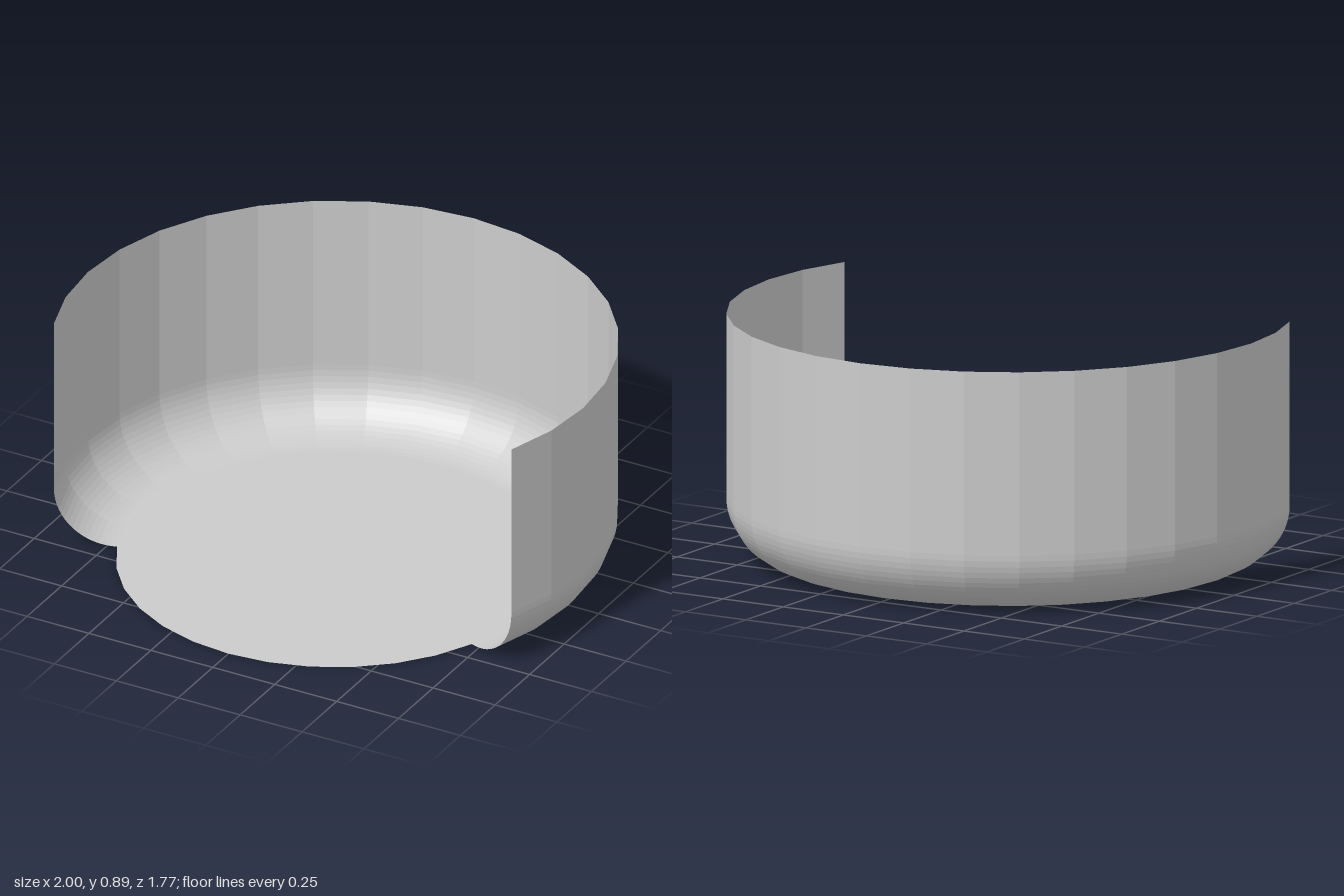
import * as THREE from 'three';

export function createModel() {
  const group = new THREE.Group();
  group.name = 'curvedBackdrop';
  const material = new THREE.MeshStandardMaterial({
    color: 0xcccccc, flatShading: true, side: THREE.DoubleSide,
  });

  const radius = 1, cove = 0.225, height = 0.8875;
  const floorRadius = radius - cove;
  const centerZ = (radius - floorRadius) / 2;

  // Wall profile: quarter-round cove rising from the floor, then straight up
  const profile = [];
  const steps = 16;
  for (let i = 0; i <= steps; i++) {
    const a = (i / steps) * Math.PI / 2;
    profile.push(new THREE.Vector2(floorRadius + cove * Math.sin(a), cove * (1 - Math.cos(a))));
  }
  profile.push(new THREE.Vector2(radius, height));

  // Wall sweeps 225 degrees around the back, open at the front
  const wall = new THREE.Mesh(
    new THREE.LatheGeometry(profile, 20, Math.PI * 0.375, Math.PI * 1.25), material);
  wall.name = 'curvedWall';

  // Round floor, full circle
  const floor = new THREE.Mesh(
    new THREE.CircleGeometry(floorRadius, 32).rotateX(-Math.PI / 2), material);
  floor.name = 'floor';

  for (const part of [wall, floor]) {
    part.position.z = centerZ;
    group.add(part);
  }
  return group;
}
